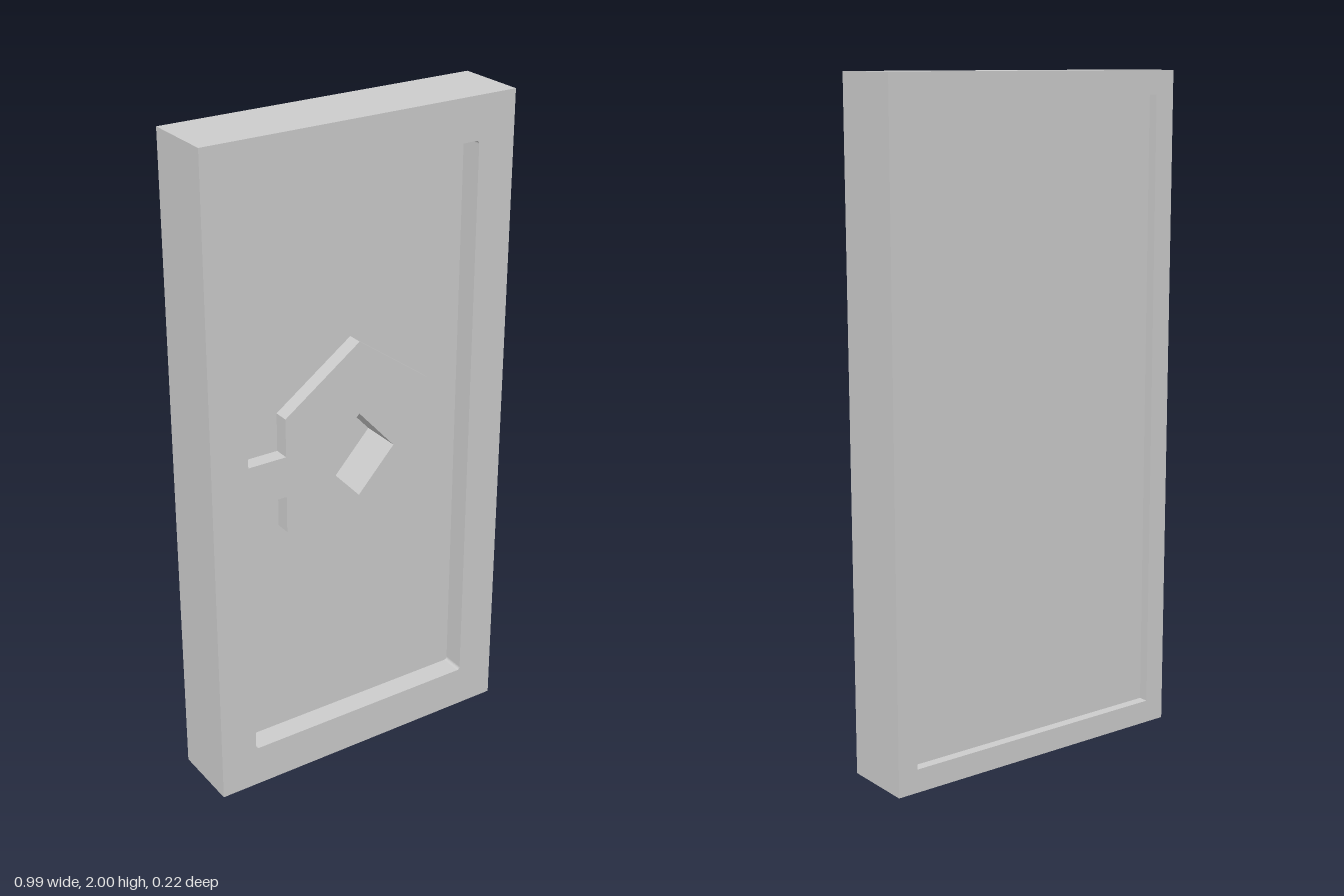
import * as THREE from 'three';

const material = new THREE.MeshStandardMaterial({ color: 0xcccccc });
const HALF_W = 0.496;

const polygon = (points, Type = THREE.Shape) =>
  new Type(points.map(([x, y]) => new THREE.Vector2(x, y)));

const rect = (x0, y0, x1, y1, Type) =>
  polygon([[x0, y0], [x1, y0], [x1, y1], [x0, y1]], Type);

// Rectangle with slightly softened corners
function softRect(x0, y0, x1, y1, r) {
  const path = new THREE.Path();
  path.absarc(x1 - r, y1 - r, r, 0, Math.PI / 2);
  path.absarc(x0 + r, y1 - r, r, Math.PI / 2, Math.PI);
  path.absarc(x0 + r, y0 + r, r, Math.PI, Math.PI * 1.5);
  path.absarc(x1 - r, y0 + r, r, Math.PI * 1.5, Math.PI * 2);
  path.closePath();
  return path;
}

// Extrudes an outline, with optional holes, from z0 to z1
function slab(name, outline, z0, z1, holes = []) {
  outline.holes.push(...holes);
  const geometry = new THREE.ExtrudeGeometry(outline, {
    depth: z1 - z0, bevelEnabled: false, curveSegments: 3,
  });
  geometry.translate(0, 0, z0);
  const mesh = new THREE.Mesh(geometry, material);
  mesh.name = name;
  return mesh;
}

export function createModel() {
  const group = new THREE.Group();
  group.name = 'door';

  const outer = () => rect(-HALF_W, 0, HALF_W, 2);
  const diamond = () =>
    polygon([[0.12, 1], [0, 1.133], [-0.12, 1], [0, 0.87]], THREE.Path);

  // Door body: raised rims around a solid core with a diamond socket
  group.add(
    slab('frontFrame', outer(), 0.04, 0.11, [softRect(-0.38, 0.13, 0.376, 1.873, 0.01)]),
    slab('panelFront', outer(), -0.043, 0.04, [diamond()]),
    slab('panelBack', outer(), -0.08, -0.043),
    slab('backFrame', outer(), -0.11, -0.08, [rect(-0.432, 0.07, 0.432, 1.93, THREE.Path)]),
  );

  // Six-sided lock plate with a tab reaching the frame
  const plate = polygon([
    [0, 0.648], [0.245, 0.823], [0.245, 1.18], [0, 1.355], [-0.245, 1.18],
    [-0.245, 1.063], [-0.38, 1.063], [-0.38, 0.937], [-0.245, 0.937], [-0.245, 0.823],
  ]);
  group.add(slab('lockPlate', plate, 0.04, 0.087, [diamond()]));

  return group;
}
